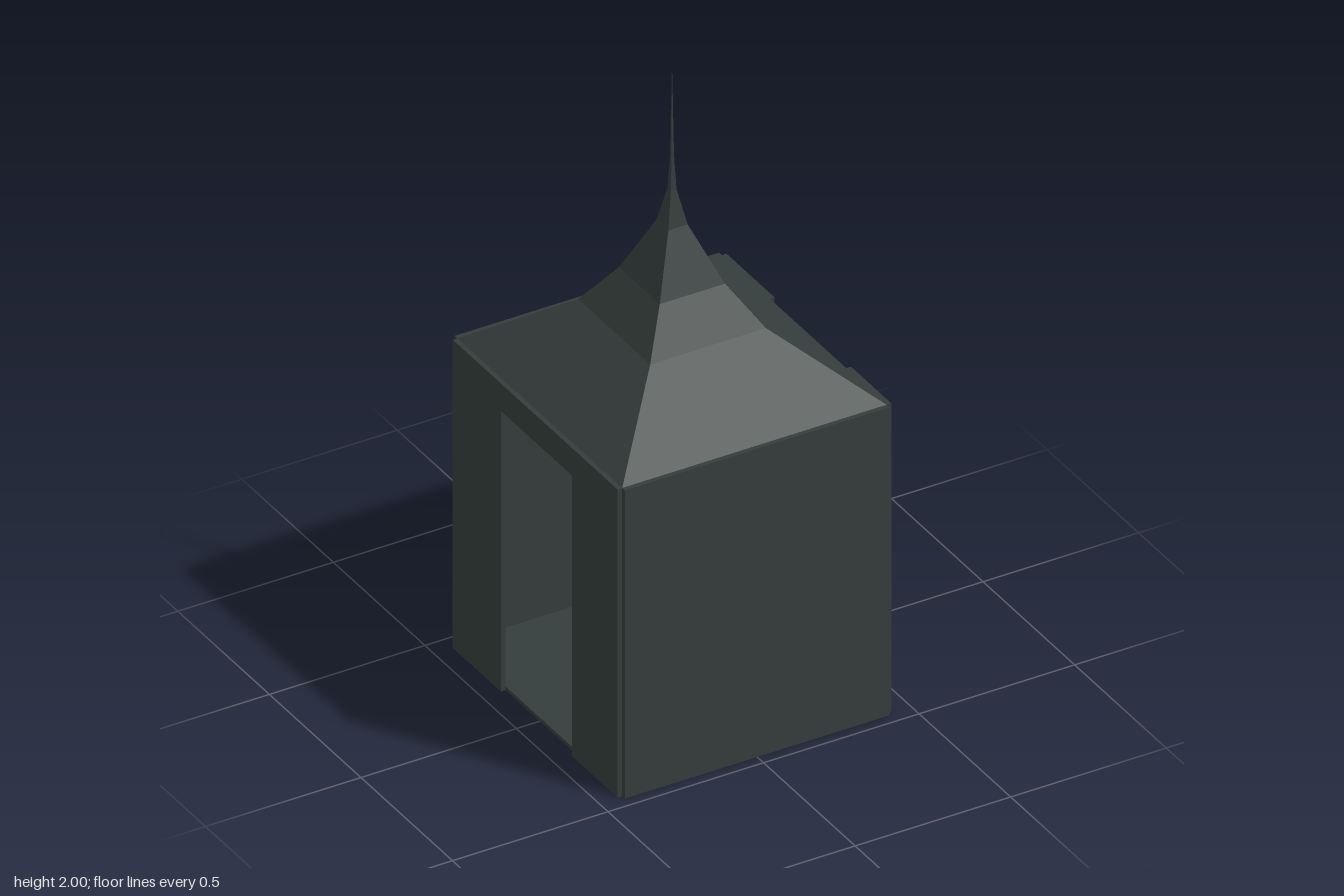
import * as THREE from 'three';

const HALF_X = 0.425, HALF_Z = 0.45; // inner room half sizes
const WALL = 0.015, HEIGHT = 1.01;

export function createModel() {
  const group = new THREE.Group();
  group.name = 'spiredBooth';

  const slate = new THREE.MeshStandardMaterial({ color: 0x343d3b, side: THREE.DoubleSide });
  slate.name = 'dark slate';

  // Box given by its minimum and maximum corners
  const slab = (name, [x0, y0, z0], [x1, y1, z1]) => {
    const mesh = new THREE.Mesh(new THREE.BoxGeometry(x1 - x0, y1 - y0, z1 - z0), slate);
    mesh.position.set((x0 + x1) / 2, (y0 + y1) / 2, (z0 + z1) / 2);
    mesh.name = name;
    group.add(mesh);
  };

  slab('floor', [-HALF_X, 0, -HALF_Z], [HALF_X, 0.012, HALF_Z]);

  // Solid front and back walls
  slab('frontWall', [-HALF_X, 0, HALF_Z], [HALF_X, HEIGHT, HALF_Z + WALL]);
  slab('backWall', [-HALF_X, 0, -HALF_Z - WALL], [HALF_X, HEIGHT, -HALF_Z]);

  // Left side: open to the eaves between two panels
  const outer = HALF_X + WALL;
  slab('leftWallFrontPanel', [HALF_X, 0, 0.23], [outer, HEIGHT, HALF_Z]);
  slab('leftWallBackPanel', [HALF_X, 0, -HALF_Z], [outer, HEIGHT, -0.187]);

  // Right side: doorway with a lintel
  slab('rightWallFrontPanel', [-outer, 0, 0.2], [-HALF_X, HEIGHT, HALF_Z]);
  slab('rightWallBackPanel', [-outer, 0, -HALF_Z], [-HALF_X, HEIGHT, -0.187]);
  slab('rightWallLintel', [-outer, 0.92, -0.187], [-HALF_X, HEIGHT, 0.2]);

  // Hollow four-sided roof sweeping up into a needle spire: [half width, height]
  const profile = [
    [0.425, HEIGHT], [0.186, 1.2], [0.105, 1.325], [0.031, 1.5],
    [0.009, 1.61], [0.004, 1.72], [0.002, 1.88], [0.0003, 2],
  ].map(([w, y]) => new THREE.Vector2(w * Math.SQRT2, y));
  const roofGeometry = new THREE.LatheGeometry(profile, 4, Math.PI / 4).toNonIndexed();
  roofGeometry.scale(1, 1, HALF_Z / HALF_X);
  roofGeometry.computeVertexNormals(); // flat facets
  const roof = new THREE.Mesh(roofGeometry, slate);
  roof.name = 'spireRoof';
  group.add(roof);

  return group;
}
